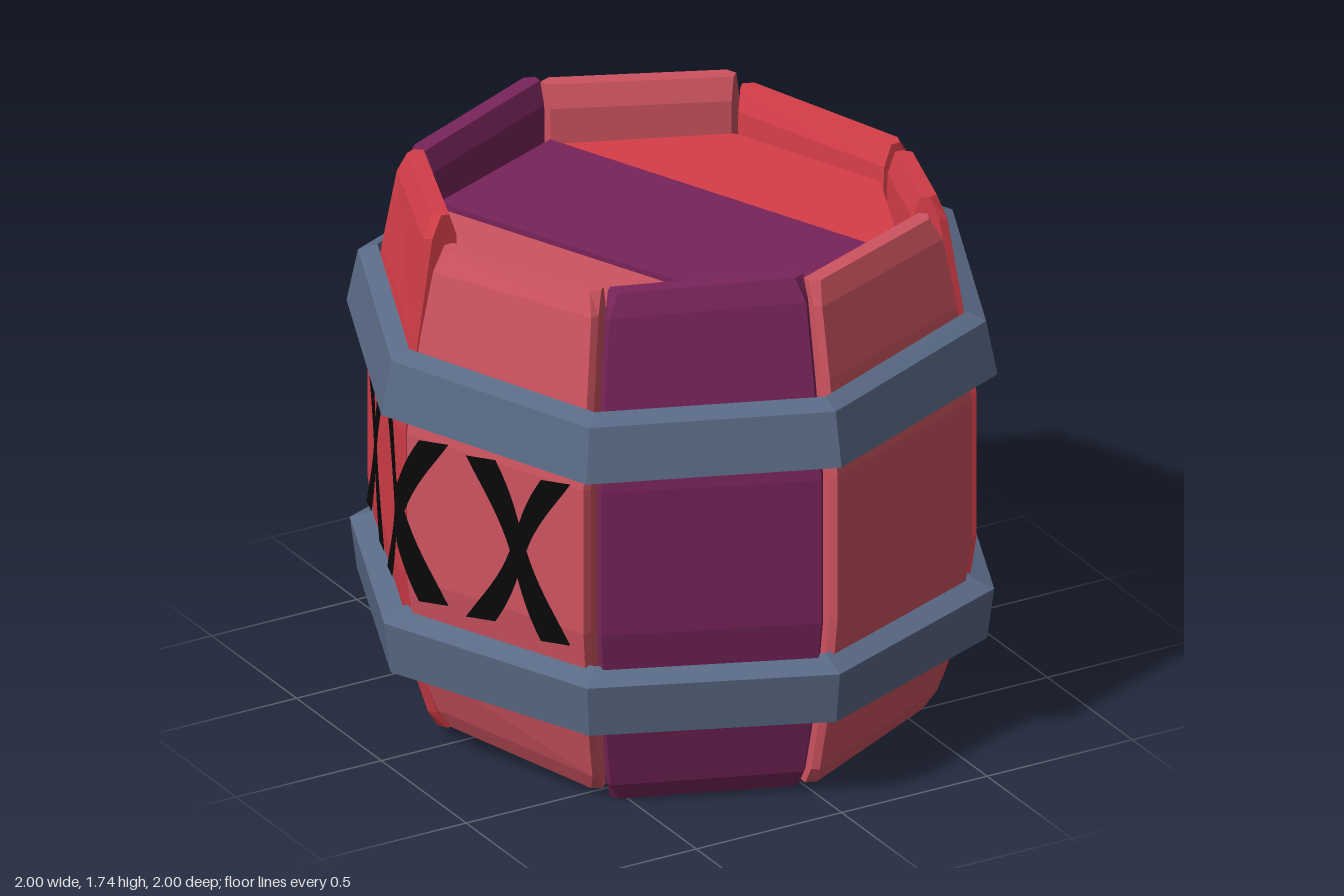
import * as THREE from 'three';

const mat = (name, color) => {
  const m = new THREE.MeshStandardMaterial({ color });
  m.name = name;
  return m;
};
const rad = THREE.MathUtils.degToRad;
const HALF = Math.PI / 8;
const polar = (r, a, y) => new THREE.Vector3(r * Math.cos(a), y, r * Math.sin(a));

// Joins equal-sized loops of points into a faceted skin, closed into a ring or capped.
function skin(loops, ring) {
  const pos = [];
  const tri = (...pts) => pts.forEach((p) => pos.push(p.x, p.y, p.z));
  const n = loops[0].length;
  for (let j = 0; j < loops.length - (ring ? 0 : 1); j++) {
    const A = loops[j], B = loops[(j + 1) % loops.length];
    for (let i = 0; i < n; i++) {
      const k = (i + 1) % n;
      tri(A[i], B[i], B[k]);
      tri(A[i], B[k], A[k]);
    }
  }
  if (!ring) {
    const A = loops[0], B = loops[loops.length - 1];
    for (let i = 1; i < n - 1; i++) {
      tri(A[0], A[i], A[i + 1]);
      tri(B[0], B[i + 1], B[i]);
    }
  }
  const g = new THREE.BufferGeometry();
  g.setAttribute('position', new THREE.Float32BufferAttribute(pos, 3));
  g.computeVertexNormals();
  return g;
}

// Stave profile: height, outer corner radius, inner corner radius, end narrowing
const PROFILE = [
  [0, 0.80, 0.745, 0.94], [0.06, 0.835, 0.735, 1], [0.3, 0.895, 0.735, 1],
  [0.6, 0.94, 0.735, 1], [1.07, 0.94, 0.735, 1], [1.37, 0.895, 0.735, 1],
  [1.59, 0.85, 0.74, 1], [1.66, 0.82, 0.765, 0.94],
];

// One bent plank; its ends are sawn off at a slant from corner a to corner b.
function staveGeometry(angle, [topA, topB, botA, botB]) {
  const t = Math.tan(HALF), gap = 0.011;
  const loops = PROFILE.map(([y, R, Ri, narrow]) => {
    const h = R * Math.cos(HALF), hi = Ri * Math.cos(HALF), hb = h - 0.025;
    const wo = (h * t - 0.03) * narrow, wb = hb * t - gap, wi = hi * t - gap;
    const pts = [[-wb, hb], [-wo, h], [wo, h], [wb, hb], [wi, hi], [-wi, hi]];
    return pts.map(([u, r]) => {
      const f = (u / (h * t) + 1) / 2;
      let yy = y;
      if (y < 0.1) yy += THREE.MathUtils.lerp(botA, botB, f);
      if (y > 1.5) yy += THREE.MathUtils.lerp(topA, topB, f) - 1.66;
      return new THREE.Vector3(
        r * Math.cos(angle) - u * Math.sin(angle), yy,
        r * Math.sin(angle) + u * Math.cos(angle));
    });
  });
  return skin(loops, false);
}

// Eight-sided hoop, slightly tilted; section runs outer top, outer bottom, inner bottom, inner top
function hoopGeometry(section, tiltX, tiltZ) {
  const loops = [];
  for (let k = 0; k < 8; k++) {
    const a = k * Math.PI / 4;
    const dy = tiltX * Math.cos(a) + tiltZ * Math.sin(a);
    loops.push(section.map(([r, y]) => polar(r, a, y + dy)));
  }
  return skin(loops, true);
}

// Flat lid board spanning the given octagon corners (degrees)
function boardGeometry(corners, y0, y1, shrink) {
  const pts = corners.map((d) => polar(0.722, rad(d), 0));
  const c = new THREE.Vector3();
  pts.forEach((p) => c.addScaledVector(p, 1 / pts.length));
  pts.forEach((p) => p.sub(c).multiplyScalar(shrink).add(c));
  return skin([y0, y1].map((y) => pts.map((p) => p.clone().setY(y))), false);
}

// Painted stroke that wraps round the barrel corner at -x; s runs along the faces
function strokeGeometry(s0, s1, y0, y1, bend) {
  const R = 0.949, side = 2 * R * Math.sin(HALF), n = 16, pos = [], idx = [];
  const corner = polar(R, Math.PI, 0);
  for (let i = 0; i <= n; i++) {
    const f = i / n;
    const mid = THREE.MathUtils.lerp(s0, s1, f) + bend * Math.sin(f * Math.PI * 2);
    const w = 0.043 + 0.012 * Math.cos(f * Math.PI * 2);
    for (const e of [-1, 1]) {
      const s = mid + e * w;
      const next = polar(R, Math.PI - Math.sign(s) * Math.PI / 4, 0);
      const p = corner.clone().lerp(next, Math.abs(s) / side);
      pos.push(p.x, THREE.MathUtils.lerp(y0, y1, f) + e * 0.008, p.z);
    }
    if (i < n) idx.push(2 * i, 2 * i + 1, 2 * i + 3, 2 * i, 2 * i + 3, 2 * i + 2);
  }
  const g = new THREE.BufferGeometry();
  g.setAttribute('position', new THREE.Float32BufferAttribute(pos, 3));
  g.setIndex(idx);
  g.computeVertexNormals();
  return g;
}

export function createModel() {
  const red = mat('red wood', 0xd63e49);
  const pink = mat('faded red wood', 0xcd5360);
  const purple = mat('purple wood', 0x78245a);
  const steel = mat('blue grey iron', 0x5a6a86);
  const black = mat('black paint', 0x080808);
  black.side = THREE.DoubleSide;

  const model = new THREE.Group();
  model.name = 'barrel';
  const add = (name, geometry, material, parent = model) => {
    const m = new THREE.Mesh(geometry, material);
    m.name = name;
    parent.add(m);
  };
  const group = (name) => {
    const g = new THREE.Group();
    g.name = name;
    model.add(g);
    return g;
  };

  // Staves: colour, then top and bottom heights at both corners
  const staves = group('staves');
  [
    [red, [1.58, 1.71, 0.02, 0.06]],
    [pink, [1.66, 1.66, 0.05, 0]],
    [purple, [1.69, 1.67, 0.01, 0]],
    [pink, [1.67, 1.65, 0.02, 0.08]],
    [red, [1.74, 1.68, 0.05, 0.02]],
    [purple, [1.67, 1.69, 0, 0.01]],
    [pink, [1.67, 1.66, 0.01, 0.02]],
    [red, [1.63, 1.60, 0.06, 0.01]],
  ].forEach(([m, ends], k) =>
    add('stave' + (k + 1), staveGeometry(HALF + k * Math.PI / 4, ends), m, staves));

  // Iron hoops
  add('upperHoop', hoopGeometry(
    [[0.965, 1.325], [1.0, 1.155], [0.885, 1.155], [0.905, 1.35]], 0.018, -0.02), steel);
  add('lowerHoop', hoopGeometry(
    [[0.99, 0.445], [0.968, 0.28], [0.88, 0.28], [0.905, 0.48]], -0.004, 0.006), steel);

  // Top and bottom lids, three boards each, laid crosswise to one another
  const lid = (name, turn, y0, y1, middle, sideA, sideB) => {
    const g = group(name);
    const at = (list) => list.map((d) => d + turn);
    add('middleBoard', boardGeometry(at([45, 90, 225, 270]), y0, y1, 0.995), middle, g);
    add('sideBoardA', boardGeometry(at([90, 135, 180, 225]), y0, y1 - 0.015, 0.985), sideA, g);
    add('sideBoardB', boardGeometry(at([-90, -45, 0, 45]), y0, y1 - 0.015, 0.985), sideB, g);
  };
  lid('topLid', 0, 1.44, 1.51, purple, pink, red);
  lid('bottomLid', -90, 0.12, 0.19, red, pink, pink);

  // Three painted crosses around the -x corner
  const marks = group('paintedCrosses');
  for (const c of [-0.455, 0, 0.455]) {
    add('strokeRising', strokeGeometry(c - 0.14, c + 0.14, 0.545, 1.075, 0.012), black, marks);
    add('strokeFalling', strokeGeometry(c + 0.14, c - 0.14, 0.545, 1.075, -0.012), black, marks);
  }
  return model;
}
